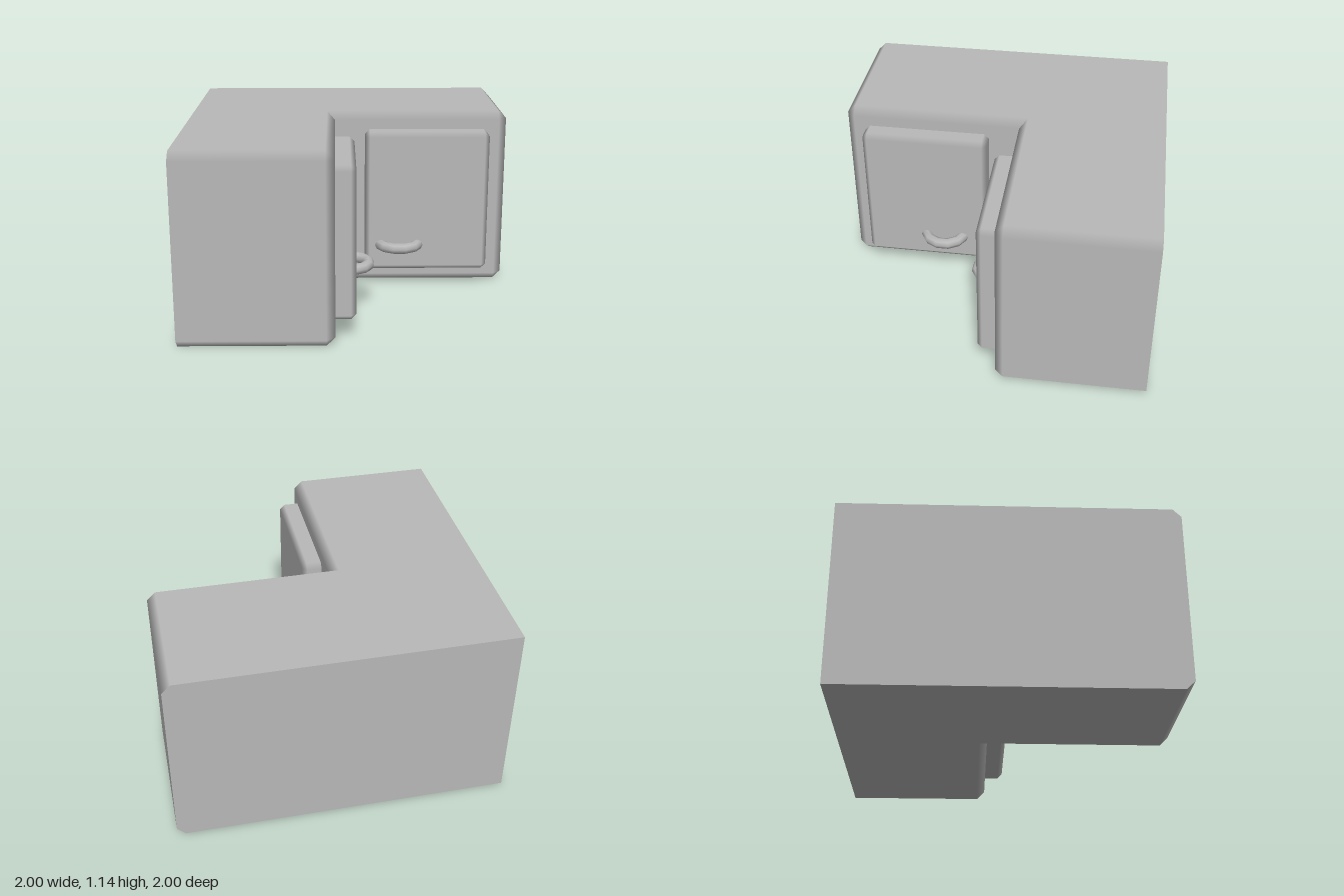
import * as THREE from 'three';

// Upright prism over a plan of right-angled corners [x, z], with soft chamfers
// on the edges of every wall flagged in `bevelled` (wall i runs from corner i to i + 1).
function chamferedPrism(corners, bevelled, y0, y1, c) {
  const position = [], normal = [];
  const a = new THREE.Vector3(), b = new THREE.Vector3();

  // Triangle of [point, normal] pairs, turned so that it faces its normals
  const triangle = (...v) => {
    a.subVectors(v[1][0], v[0][0]);
    b.subVectors(v[2][0], v[0][0]);
    a.cross(b);
    if (a.lengthSq() < 1e-12) return;
    b.copy(v[0][1]).add(v[1][1]).add(v[2][1]);
    if (a.dot(b) < 0) v.reverse();
    for (const [p, n] of v) {
      position.push(p.x, p.y, p.z);
      normal.push(n.x, n.y, n.z);
    }
  };
  const quad = (p, q, r, s) => {
    triangle(p, q, r);
    triangle(p, r, s);
  };

  const count = corners.length;
  const plan = corners.map(([x, z]) => new THREE.Vector2(x, z));
  const dirs = plan.map((p, i) => plan[(i + 1) % count].clone().sub(p).normalize());
  const outs = dirs.map((d) => new THREE.Vector2(d.y, -d.x));
  const at = (p, y) => new THREE.Vector3(p.x, y, p.y);

  // Each corner gets an end point for both of its walls and an inset point for the caps
  const ends = plan.map((p, i) => {
    const j = (i + count - 1) % count;
    const cut = bevelled[i] && bevelled[j] && dirs[j].cross(dirs[i]) > 0;
    const inset = p.clone();
    for (const k of [i, j]) if (bevelled[k]) inset.addScaledVector(outs[k], -c);
    return {
      cut, inset, j,
      before: cut ? p.clone().addScaledVector(dirs[j], -c) : p,
      after: cut ? p.clone().addScaledVector(dirs[i], c) : p,
    };
  });

  const wallNormals = outs.map((o) => at(o, 0));
  const caps = [[y1, y1 - c, new THREE.Vector3(0, 1, 0)], [y0, y0 + c, new THREE.Vector3(0, -1, 0)]];

  ends.forEach((e, i) => {
    const f = ends[(i + 1) % count], n = wallNormals[i], m = wallNormals[e.j];
    // Wall and its upper and lower chamfers
    quad([at(e.after, y0 + c), n], [at(f.before, y0 + c), n], [at(f.before, y1 - c), n], [at(e.after, y1 - c), n]);
    for (const [yCap, ySide, up] of caps) {
      const t = bevelled[i] ? up : n;
      quad([at(e.after, ySide), n], [at(f.before, ySide), n], [at(f.inset, yCap), t], [at(e.inset, yCap), t]);
      // Corner facet
      if (e.cut) triangle([at(e.before, ySide), m], [at(e.after, ySide), n], [at(e.inset, yCap), up]);
    }
    // Vertical chamfer
    if (e.cut) quad([at(e.before, y0 + c), m], [at(e.after, y0 + c), n], [at(e.after, y1 - c), n], [at(e.before, y1 - c), m]);
  });

  // Top and bottom
  const insets = ends.map((e) => e.inset);
  for (const face of THREE.ShapeUtils.triangulateShape(insets, [])) {
    for (const [y, , up] of caps) triangle(...face.map((k) => [at(insets[k], y), up]));
  }

  const geometry = new THREE.BufferGeometry();
  geometry.setAttribute('position', new THREE.Float32BufferAttribute(position, 3));
  geometry.setAttribute('normal', new THREE.Float32BufferAttribute(normal, 3));
  return geometry;
}

export function createModel() {
  const model = new THREE.Group();
  model.name = 'cornerCabinet';
  const grey = new THREE.MeshStandardMaterial({ color: 0xb8b8b8 });
  grey.name = 'grey';

  const add = (name, geometry) => {
    const mesh = new THREE.Mesh(geometry, grey);
    mesh.name = name;
    model.add(mesh);
    return mesh;
  };

  // L-shaped carcass, square where it meets the walls of the room
  add('cabinetBody', chamferedPrism(
    [[-1, -1], [1, -1], [1, -0.1], [-0.1, -0.1], [-0.1, 1], [-1, 1]],
    [false, true, true, true, true, false], 0, 1.14, 0.05));

  // Doors on the two inner faces
  add('rightWingDoor', chamferedPrism(
    [[0.09, -0.1], [0.88, -0.1], [0.88, 0.02], [0.09, 0.02]],
    [false, true, true, true], 0.12, 1.03, 0.03));
  add('leftWingDoor', chamferedPrism(
    [[-0.1, 0.09], [0.02, 0.09], [0.02, 0.88], [-0.1, 0.88]],
    [true, true, true, false], 0.12, 1.03, 0.03));

  // Curved handles, their ends sunk into the doors
  const handle = new THREE.TorusGeometry(0.125, 0.035, 8, 7, Math.PI * 7 / 6);
  handle.rotateZ(-Math.PI / 12);
  handle.rotateX(Math.PI / 2);
  add('rightWingHandle', handle).position.set(0.31, 0.29, -0.02);
  const second = add('leftWingHandle', handle);
  second.position.set(-0.02, 0.29, 0.37);
  second.rotation.y = Math.PI / 2;

  return model;
}
